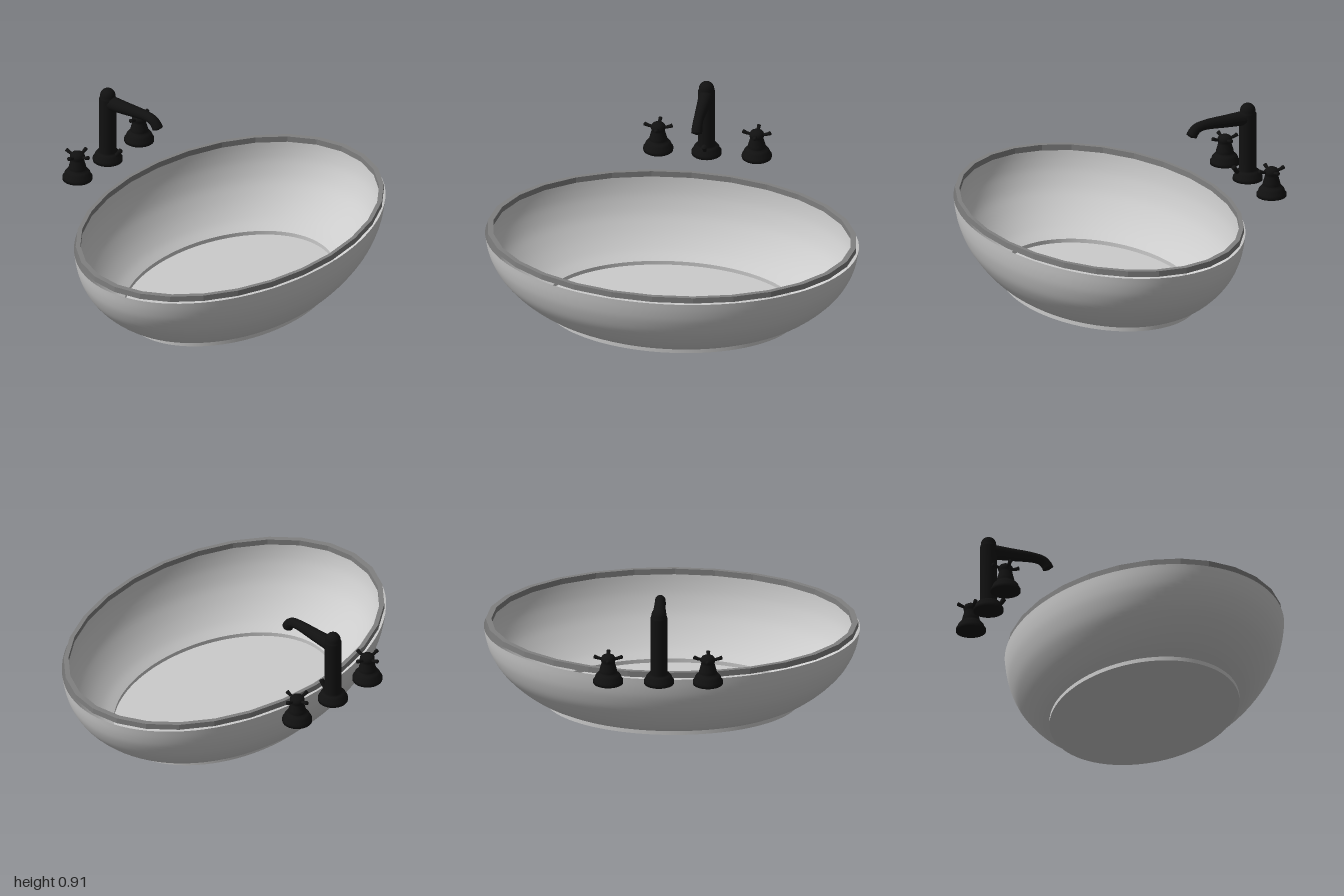
import * as THREE from 'three';

const grey = new THREE.MeshStandardMaterial({ color: 0xcccccc, side: THREE.DoubleSide });
const rimGrey = new THREE.MeshStandardMaterial({ color: 0x808080, flatShading: true });
const black = new THREE.MeshStandardMaterial({ color: 0x111111 });

const v2 = (pts) => pts.map(([r, y]) => new THREE.Vector2(r, y));

function part(name, geometry, material, parent) {
  const mesh = new THREE.Mesh(geometry, material);
  mesh.name = name;
  parent.add(mesh);
  return mesh;
}

const lathe = (pts, sides = 32) => new THREE.LatheGeometry(v2(pts), sides);

// Round tube along a curve whose radius follows a rule
function taperedTube(points, radiusAt, steps = 40, sides = 20) {
  const curve = new THREE.CatmullRomCurve3(points.map((p) => new THREE.Vector3(...p)));
  const geo = new THREE.TubeGeometry(curve, steps, 1, sides);
  const pos = geo.attributes.position;
  const p = new THREE.Vector3();
  for (let i = 0; i <= steps; i++) {
    const c = curve.getPointAt(i / steps);
    for (let j = 0; j <= sides; j++) {
      const k = i * (sides + 1) + j;
      p.fromBufferAttribute(pos, k).sub(c).multiplyScalar(radiusAt(i / steps)).add(c);
      pos.setXYZ(k, p.x, p.y, p.z);
    }
  }
  geo.computeVertexNormals();
  return geo;
}

// Stepped bell-shaped foot shared by the spout and both handles
const foot = [[0, 0], [0.08, 0], [0.08, 0.016], [0.074, 0.022], [0.068, 0.04], [0.058, 0.052], [0.046, 0.058]];

function makeBasin() {
  const basin = new THREE.Group();
  basin.name = 'basin';
  // Oval: circular parts squeezed along z
  basin.scale.z = 0.7;
  basin.position.z = 0.12;

  // Bowl wall
  const wall = new THREE.SplineCurve(v2([
    [0.68, 0.022], [0.75, 0.056], [0.82, 0.105], [0.88, 0.16], [0.93, 0.22],
    [0.97, 0.295], [0.99, 0.36], [1, 0.42],
  ])).getPoints(28);
  part('bowlWall', new THREE.LatheGeometry(wall, 96), grey, basin);

  // Foot ring and floor
  part('footRing', lathe([[0.68, 0], [0.68, 0.022]], 96), grey, basin);
  const floor = part('floor', new THREE.CircleGeometry(0.68, 96), grey, basin);
  floor.rotation.x = -Math.PI / 2;

  // Faceted rim band
  part('rim', lathe([[0.96, 0.425], [0.99, 0.425], [0.99, 0.457], [0.96, 0.457], [0.96, 0.425]], 28), rimGrey, basin);
  return basin;
}

function makeSpout() {
  const spout = new THREE.Group();
  spout.name = 'spout';
  spout.position.set(0.05, 0.475, -0.745);

  // Column with a domed top
  const dome = [];
  for (let i = 0; i <= 8; i++) {
    const a = (i / 8) * Math.PI / 2;
    dome.push([0.041 * Math.cos(a), 0.392 + 0.041 * Math.sin(a)]);
  }
  part('column', lathe([...foot, [0.046, 0.375], [0.043, 0.38], ...dome]), black, spout);

  // Tapered arm, curving down to the outlet
  part('arm', taperedTube(
    [[0, 0.352, 0], [0, 0.354, 0.12], [0, 0.356, 0.26], [0, 0.346, 0.305], [0, 0.323, 0.329], [0, 0.298, 0.342]],
    (u) => (u > 0.999 ? 0 : 0.041 - 0.014 * Math.min(1, u * 1.4) + 0.003 * Math.max(0, (u - 0.8) / 0.2)),
  ), black, spout);

  // Small lever at the front of the foot
  part('lever', taperedTube(
    [[0, 0.035, 0.045], [0, 0.06, 0.07], [0, 0.088, 0.088]],
    (u) => (u > 0.999 ? 0 : 0.009 + 0.005 * u), 16, 12,
  ), black, spout);
  return spout;
}

function makeHandle(name, x) {
  const handle = new THREE.Group();
  handle.name = name;
  handle.position.set(x, 0.475, -0.745);

  // Foot, waisted body and cap
  part('body', lathe([
    ...foot, [0.048, 0.066], [0.045, 0.08], [0.036, 0.112], [0.035, 0.122], [0.039, 0.128],
    [0.039, 0.142], [0.031, 0.154], [0.016, 0.162], [0, 0.164],
  ]), black, handle);

  // Four flared cross arms
  for (let i = 0; i < 4; i++) {
    const arm = part('crossArm', taperedTube(
      [[0.015, 0.135, 0], [0.05, 0.141, 0], [0.078, 0.152, 0]],
      (u) => (u > 0.999 ? 0 : 0.0075 + 0.004 * u * u), 16, 12,
    ), black, handle);
    arm.rotation.y = (i * Math.PI) / 2;
  }
  return handle;
}

export function createModel() {
  const model = new THREE.Group();
  model.name = 'washbasin';
  model.add(makeBasin(), makeSpout(), makeHandle('rightHandle', -0.21), makeHandle('leftHandle', 0.32));
  return model;
}
